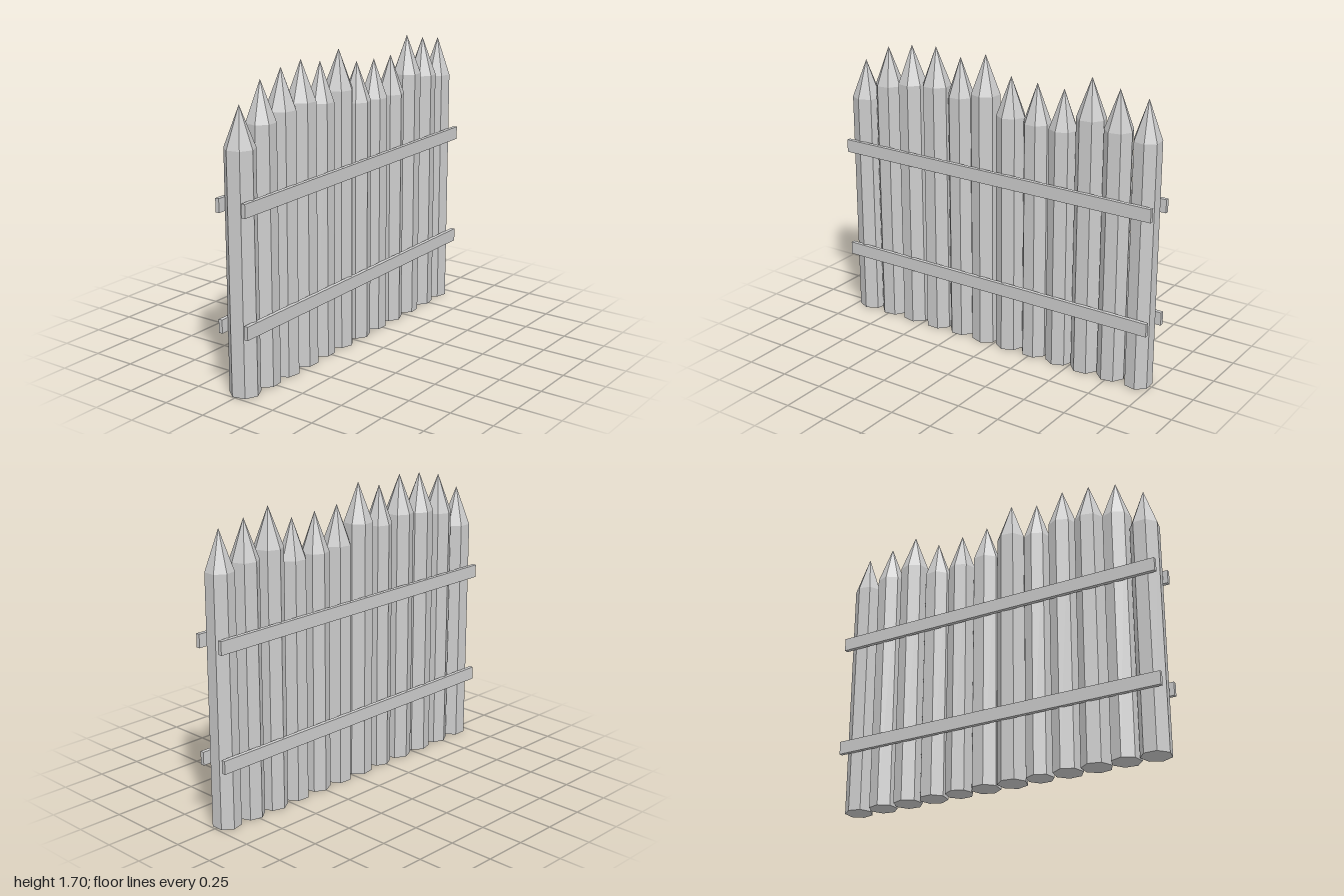
import * as THREE from 'three';

const SIDES = 7;
const TIP = 0.22; // height of the sharpened point

// tip height, radius, turn in degrees; from the model's right to its left
const STAKES = [
  [1.54, 0.085, 0], [1.64, 0.083, -20], [1.675, 0.085, -36], [1.69, 0.084, -28],
  [1.655, 0.077, -24], [1.695, 0.084, 8], [1.60, 0.083, -6], [1.59, 0.079, -28],
  [1.585, 0.081, -4], [1.675, 0.083, -20], [1.64, 0.081, -16], [1.615, 0.079, 14],
];

export function createModel() {
  const fence = new THREE.Group();
  fence.name = 'palisadeFence';

  const wood = new THREE.MeshStandardMaterial({ color: 0xcccccc });
  wood.name = 'pale grey';
  wood.flatShading = true;

  // Seven-sided stakes, each with a sharpened point
  STAKES.forEach(([height, radius, turn], i) => {
    const start = THREE.MathUtils.degToRad(turn);
    const shoulder = height - TIP;
    const stake = new THREE.Group();
    stake.name = `stake${i + 1}`;

    const shaft = new THREE.Mesh(
      new THREE.CylinderGeometry(radius * 0.985, radius, shoulder, SIDES, 1, false, start), wood);
    shaft.name = 'shaft';
    shaft.position.y = shoulder / 2;

    const point = new THREE.Mesh(
      new THREE.ConeGeometry(radius * 0.985, TIP, SIDES, 1, true, start), wood);
    point.name = 'point';
    point.position.y = shoulder + TIP / 2;

    stake.add(shaft, point);
    stake.position.x = -0.915 + i * (1.83 / (STAKES.length - 1));
    fence.add(stake);
  });

  // Two rails on the front and two on the back
  const railGeometry = new THREE.BoxGeometry(2, 0.075, 0.023);
  for (const [side, z] of [['front', 0.0845], ['back', -0.0845]]) {
    for (const [level, y] of [['Lower', 0.378], ['Upper', 1.027]]) {
      const rail = new THREE.Mesh(railGeometry, wood);
      rail.name = `${side}${level}Rail`;
      rail.position.set(0, y, z);
      fence.add(rail);
    }
  }
  return fence;
}
